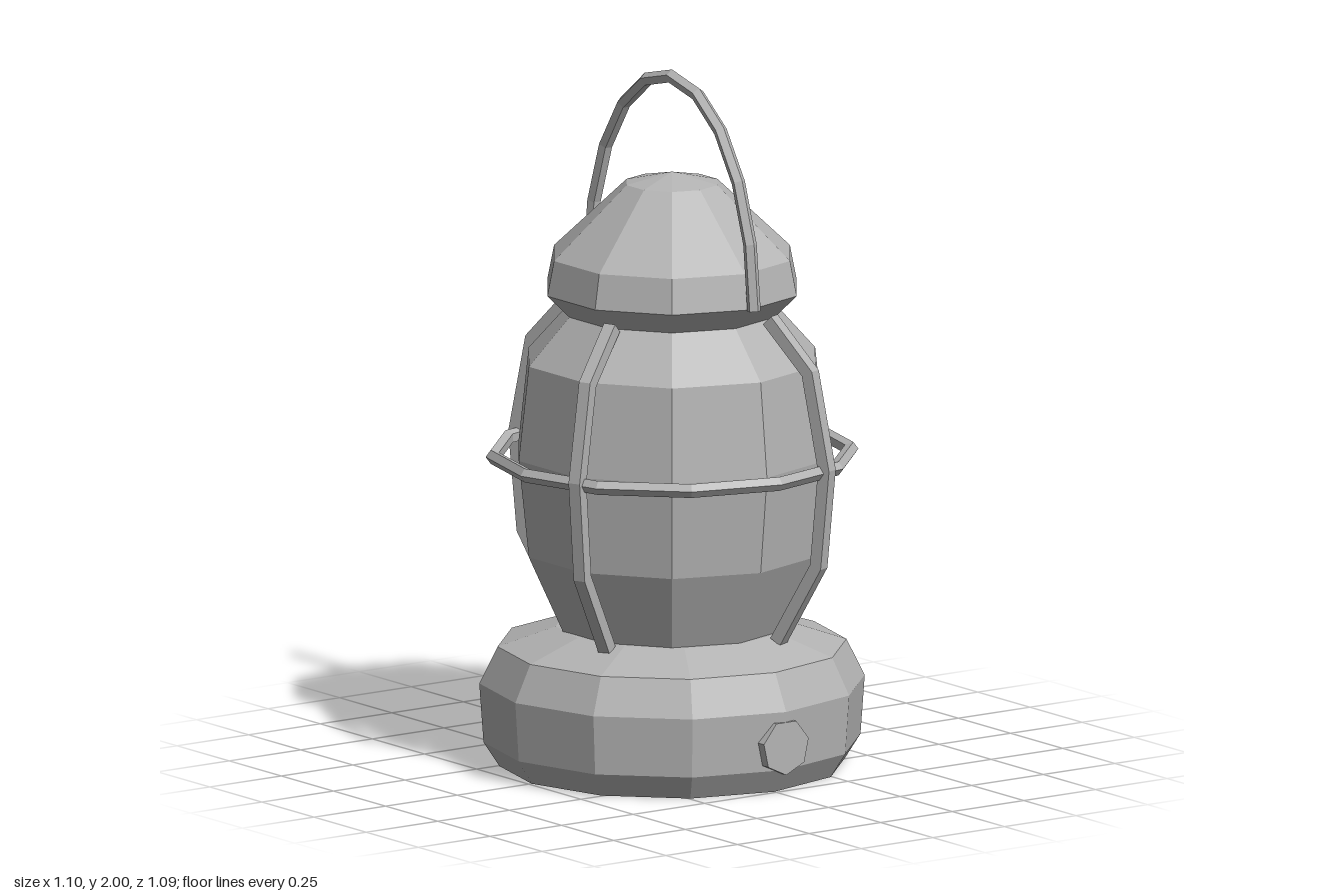
import * as THREE from 'three';

// Sweep a regular polygon along a flat path of [x, y] points, with closed ends
function sweep(path, radius, sides, turn = 0) {
  const pos = [], index = [], n = path.length;
  path.forEach(([x, y], i) => {
    const a = path[Math.max(i - 1, 0)], b = path[Math.min(i + 1, n - 1)];
    const len = Math.hypot(b[0] - a[0], b[1] - a[1]);
    const nx = (b[1] - a[1]) / len, ny = -(b[0] - a[0]) / len;
    for (let k = 0; k < sides; k++) {
      const t = turn + (k / sides) * Math.PI * 2, c = Math.cos(t) * radius;
      pos.push(x + nx * c, y + ny * c, Math.sin(t) * radius);
    }
  });
  for (let i = 0; i < n - 1; i++) {
    for (let k = 0; k < sides; k++) {
      const p = i * sides + k, q = i * sides + ((k + 1) % sides);
      index.push(p, p + sides, q + sides, p, q + sides, q);
    }
  }
  const end = (n - 1) * sides;
  for (let k = 1; k < sides - 1; k++) index.push(0, k, k + 1, end, end + k + 1, end + k);
  const g = new THREE.BufferGeometry();
  g.setAttribute('position', new THREE.Float32BufferAttribute(pos, 3));
  g.setIndex(index);
  const flat = g.toNonIndexed();
  flat.computeVertexNormals();
  return flat;
}

// Faceted turned part from a bottom-to-top profile of [radius, y]
function turned(profile, sides, start = 0) {
  const pts = profile.map(([r, y]) => new THREE.Vector2(r, y));
  return new THREE.LatheGeometry(pts, sides, start);
}

export function createModel() {
  const model = new THREE.Group();
  model.name = 'lantern';
  const grey = new THREE.MeshStandardMaterial({ color: 0xb4b4b4, flatShading: true });
  grey.name = 'grey metal';
  const add = (name, geometry) => {
    const mesh = new THREE.Mesh(geometry, grey);
    mesh.name = name;
    model.add(mesh);
    return mesh;
  };

  // Body: base, glass globe and cap
  add('base', turned([[0, 0], [0.49, 0], [0.535, 0.07], [0.547, 0.24], [0.495, 0.345], [0.33, 0.4], [0, 0.4]], 12));
  add('globe', turned([[0, 0.39], [0.32, 0.39], [0.425, 0.62], [0.455, 0.9], [0.425, 1.17], [0.3, 1.31], [0, 1.31]], 10, Math.PI / 2));
  add('cap', turned([[0, 1.3], [0.3, 1.3], [0.37, 1.37], [0.35, 1.47], [0.135, 1.675], [0, 1.705]], 10, Math.PI / 2));

  // Four cage ribs
  const ribPath = [[0.352, 0.39], [0.485, 0.62], [0.512, 0.9], [0.457, 1.175], [0.325, 1.315]];
  const rib = sweep(ribPath, 0.026, 4, Math.PI / 4);
  for (let i = 0; i < 4; i++) {
    add('cageRib' + (i + 1), rib).rotation.y = 0.393 + (i * Math.PI) / 2;
  }

  // Cage ring around the globe
  const ring = add('cageRing', new THREE.TorusGeometry(0.508, 0.021, 5, 12));
  ring.rotation.x = Math.PI / 2;
  ring.position.y = 0.893;

  // Arched carrying handle
  const arch = [];
  for (let i = 0; i <= 10; i++) {
    const a = (i / 10) * Math.PI;
    arch.push([0.393 * Math.cos(a), 1.37 + 0.61 * Math.sin(a)]);
  }
  add('handle', sweep(arch, 0.02, 5));

  // Seven-sided knob on the left of the base
  const knob = add('knob', new THREE.CylinderGeometry(0.08, 0.08, 0.06, 7, 1, false, Math.PI / 2));
  knob.rotation.z = -Math.PI / 2;
  knob.position.set(0.518, 0.138, 0);

  return model;
}
